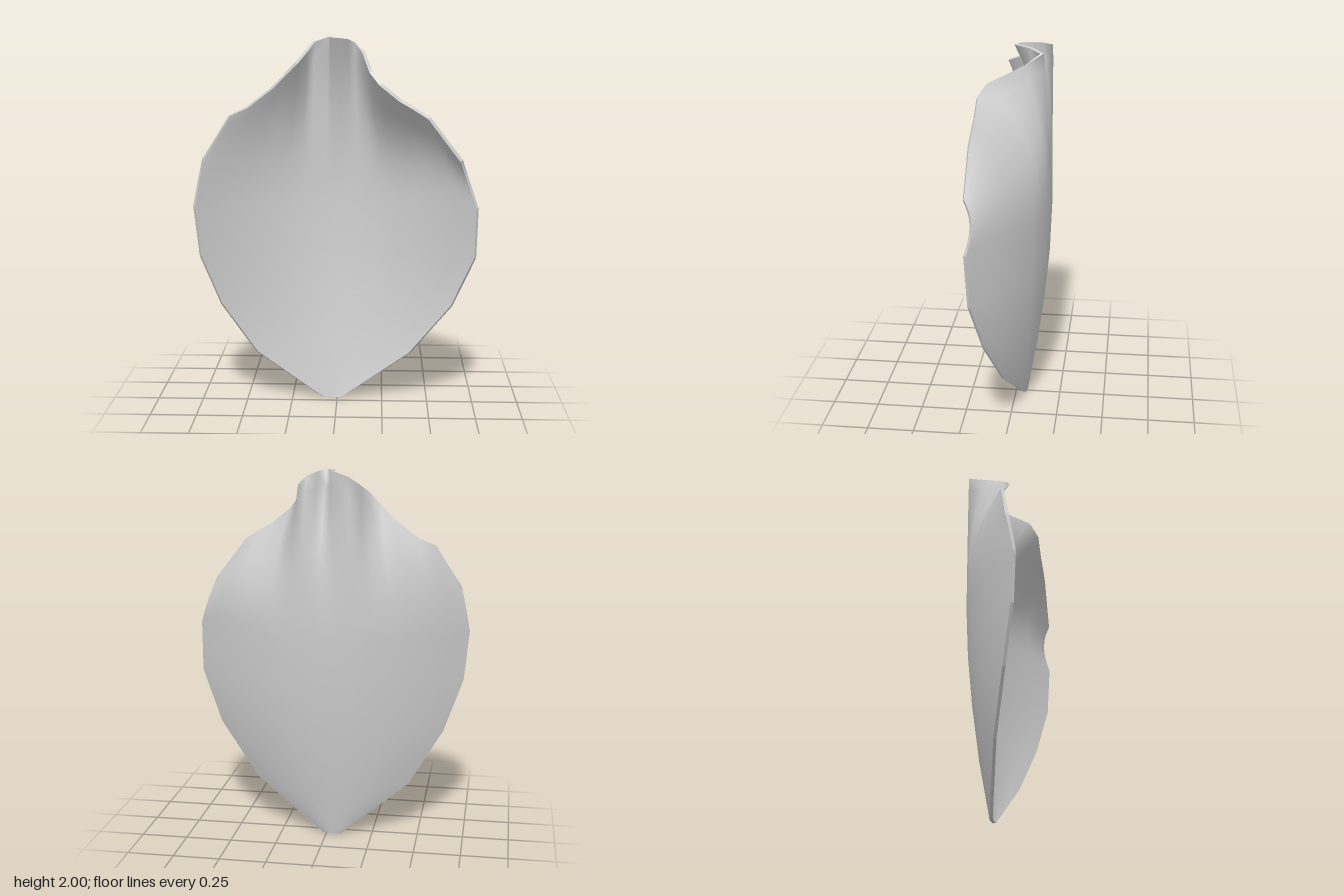
import * as THREE from 'three';

// Lower cross-sections: y, left x, right x, spine z, edge z
const SECTIONS = [
  [0, -0.08, 0.02, -0.055, -0.05],
  [0.29, -0.44, 0.40, -0.105, 0.025],
  [0.58, -0.62, 0.62, -0.145, 0.095],
  [0.86, -0.72, 0.735, -0.172, 0.15],
  [1.13, -0.745, 0.74, -0.182, 0.165],
];

// Pleated upper rim: u across the petal (-1..1), then x, y, z
const RIM = [
  [-1, -0.70, 1.38, 0.12], [-0.88, -0.56, 1.6, 0.08], [-0.75, -0.47, 1.64, 0.05],
  [-0.62, -0.34, 1.74, 0.045], [-0.5, -0.27, 1.81, 0.045], [-0.38, -0.21, 1.87, 0.06],
  [-0.28, -0.17, 1.92, -0.06], [-0.2, -0.13, 1.97, -0.17], [-0.1, -0.04, 2, -0.13],
  [-0.03, -0.03, 2, -0.03], [0.04, 0.01, 2, 0], [0.1, 0.05, 1.99, -0.08],
  [0.17, 0.09, 1.97, -0.14], [0.27, 0.14, 1.92, -0.06], [0.36, 0.18, 1.83, 0.13],
  [0.44, 0.23, 1.77, 0.17], [0.6, 0.33, 1.69, 0.172], [0.75, 0.40, 1.65, 0.175],
  [0.88, 0.48, 1.6, 0.178], [1, 0.65, 1.38, 0.18],
];
const THICKNESS = 0.018;
const UPPER_ROWS = 10;
const COLS = RIM.length;

const sectionPoint = ([y, l, r, back, edge], u) =>
  new THREE.Vector3(l + (r - l) * (u + 1) / 2, y, back + (edge - back) * u * u);

// Smooth cupped surface that the pleats depart from
const cupZ = (x) => -0.182 + 0.63 * x * x;

function middleSurface() {
  const points = [];
  for (const s of SECTIONS) for (const [u] of RIM) points.push(sectionPoint(s, u));
  const top = SECTIONS[SECTIONS.length - 1];
  for (let i = 1; i <= UPPER_ROWS; i++) {
    const t = i / UPPER_ROWS;
    for (const [u, x, y, z] of RIM) {
      const p = sectionPoint(top, u);
      const drift = p.z - cupZ(p.x);
      p.x += (x - p.x) * t;
      p.y += (y - p.y) * t;
      // Pleats deepen towards the rim
      p.z = cupZ(p.x) + drift * (1 - t) + (z - cupZ(x)) * Math.pow(t, 2.5);
      points.push(p);
    }
  }
  return points;
}

function gridGeometry(points, flip) {
  const index = [];
  const rows = points.length / COLS;
  for (let r = 0; r < rows - 1; r++) {
    for (let c = 0; c < COLS - 1; c++) {
      const a = r * COLS + c, b = a + 1, d = a + COLS, e = d + 1;
      if (flip) index.push(a, e, b, a, d, e);
      else index.push(a, b, e, a, e, d);
    }
  }
  const g = new THREE.BufferGeometry().setFromPoints(points);
  g.setIndex(index);
  g.computeVertexNormals();
  return g;
}

// Thin wall joining the inner and outer faces around the border
function edgeGeometry(inner, outer) {
  const rows = inner.length / COLS;
  const loop = [];
  for (let c = 0; c < COLS - 1; c++) loop.push(c);
  for (let r = 0; r < rows - 1; r++) loop.push(r * COLS + COLS - 1);
  for (let c = COLS - 1; c > 0; c--) loop.push((rows - 1) * COLS + c);
  for (let r = rows - 1; r > 0; r--) loop.push(r * COLS);
  const pts = [];
  loop.forEach((i, k) => {
    const j = loop[(k + 1) % loop.length];
    pts.push(inner[i], outer[i], outer[j], inner[i], outer[j], inner[j]);
  });
  const g = new THREE.BufferGeometry().setFromPoints(pts);
  g.computeVertexNormals();
  return g;
}

export function createModel() {
  const group = new THREE.Group();
  group.name = 'petal';
  const grey = new THREE.MeshStandardMaterial({ color: 0xcccccc });
  grey.name = 'light grey';

  // Offset the middle surface both ways to give the petal its thickness
  const middle = middleSurface();
  const normals = gridGeometry(middle, false).getAttribute('normal');
  const offset = (d) => middle.map((p, i) =>
    new THREE.Vector3().fromBufferAttribute(normals, i).multiplyScalar(d).add(p).clamp(
      new THREE.Vector3(-1, 0, -1), new THREE.Vector3(1, 2, 1)));
  const inner = offset(THICKNESS / 2);
  const outer = offset(-THICKNESS / 2);

  const add = (name, geometry) => {
    const mesh = new THREE.Mesh(geometry, grey);
    mesh.name = name;
    group.add(mesh);
  };
  add('innerFace', gridGeometry(inner, false));
  add('outerFace', gridGeometry(outer, true));
  add('petalEdge', edgeGeometry(inner, outer));
  return group;
}
